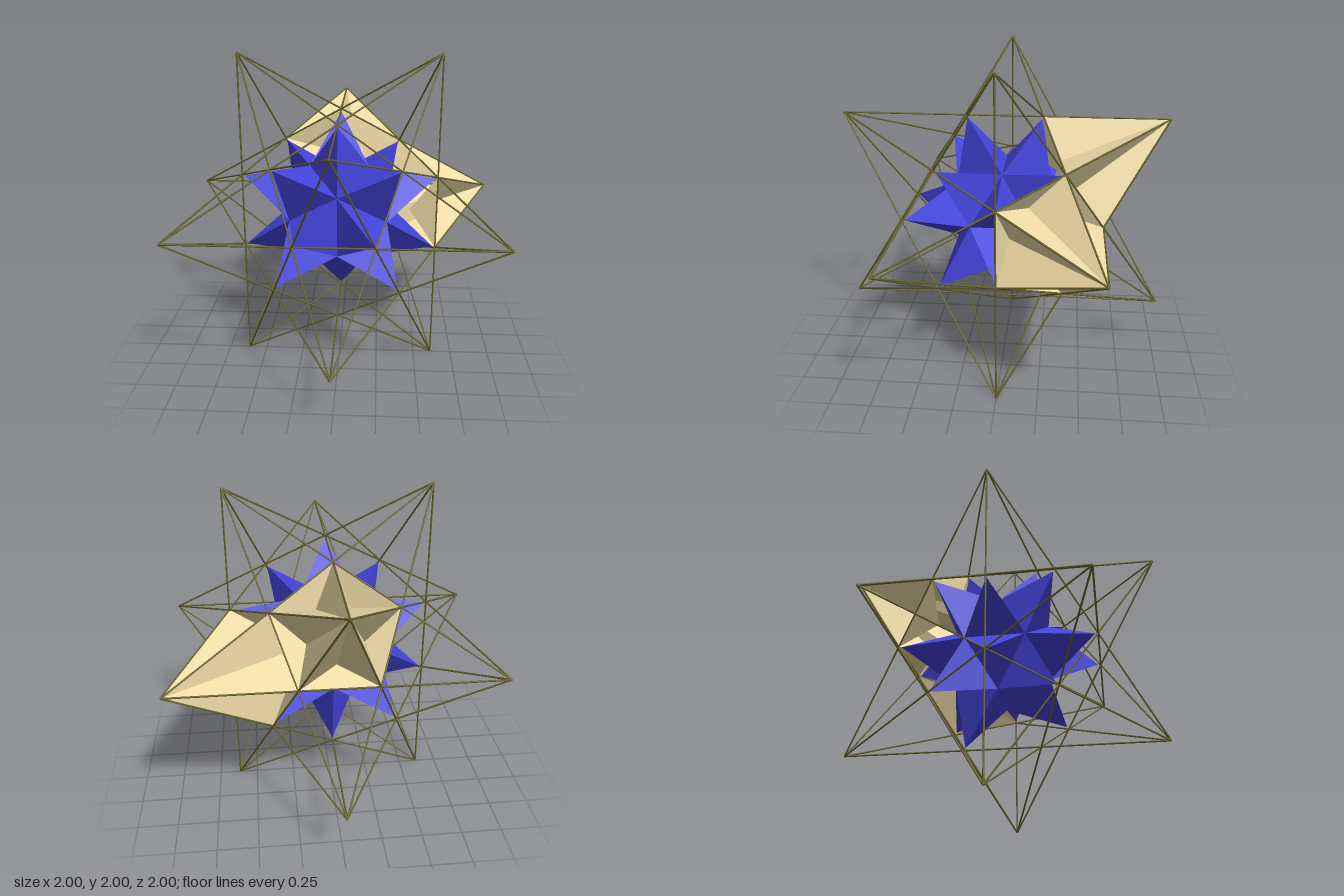
import * as THREE from 'three';

const PHI = (1 + Math.sqrt(5)) / 2;
const SIZE = 0.995;      // reach of the frame tips along each axis
const CENTRE_Y = 1;

// Flat-shaded surface from triangles, each turned to face away from the origin
function facets(name, triangles, material) {
  const points = [];
  for (const [a, b, c] of triangles) {
    const normal = b.clone().sub(a).cross(c.clone().sub(a));
    points.push(...(normal.dot(a) > 0 ? [a, b, c] : [a, c, b]));
  }
  const geometry = new THREE.BufferGeometry().setFromPoints(points);
  geometry.computeVertexNormals();
  const mesh = new THREE.Mesh(geometry, material);
  mesh.name = name;
  return mesh;
}

// Thin rod between two points
function rod(a, b, material) {
  const dir = b.clone().sub(a);
  const mesh = new THREE.Mesh(new THREE.CylinderGeometry(0.0055, 0.0055, dir.length(), 6), material);
  mesh.position.copy(a).add(b).multiplyScalar(0.5);
  mesh.quaternion.setFromUnitVectors(new THREE.Vector3(0, 1, 0), dir.normalize());
  mesh.name = 'frameRod';
  return mesh;
}

export function createModel() {
  const model = new THREE.Group();
  model.name = 'stellatedPolyhedron';
  const blue = new THREE.MeshStandardMaterial({ color: 0x4444dd, flatShading: true });
  const cream = new THREE.MeshStandardMaterial({ color: 0xf0dda8, flatShading: true, side: THREE.DoubleSide });
  const olive = new THREE.MeshStandardMaterial({ color: 0x66622c });

  // Twelve tips of an icosahedron
  const tips = [];
  for (const p of [1, -1]) for (const q of [1, -1]) {
    const s = p / PHI;
    tips.push(new THREE.Vector3(s, q, 0), new THREE.Vector3(0, s, q), new THREE.Vector3(q, 0, s));
  }
  const near = (a, b) => Math.abs(a.dot(b) - 1 / PHI) < 0.01;
  const far = (a, b) => Math.abs(a.dot(b) + 1 / PHI) < 0.01;

  // Icosahedron faces as triples of neighbouring tips, with the sum of their tips
  const faces = [];
  tips.forEach((a, i) => tips.forEach((b, j) => tips.forEach((c, k) => {
    if (i < j && j < k && near(a, b) && near(b, c) && near(a, c))
      faces.push({ tips: [a, b, c], sum: a.clone().add(b).add(c) });
  })));

  // Wire frame: the thirty long chords that join the tips
  const frame = new THREE.Group();
  frame.name = 'wireFrame';
  tips.forEach((a, i) => tips.forEach((b, j) => {
    if (i < j && far(a, b))
      frame.add(rod(a.clone().multiplyScalar(SIZE), b.clone().multiplyScalar(SIZE), olive));
  }));
  model.add(frame);

  // Blue core: a three-sided point on each face, except one face left flat
  const star = new THREE.Group();
  star.name = 'coreStar';
  for (const face of faces) {
    const [a, b, c] = face.tips.map((t) => t.clone().multiplyScalar(0.3));
    const apex = face.sum.clone().multiplyScalar(0.2285);
    const leftFlat = apex.y < -0.5 && apex.z > 0.1;
    star.add(leftFlat
      ? facets('flatFace', [[a, b, c]], blue)
      : facets('corePoint', [[a, b, apex], [b, c, apex], [c, a, apex]], blue));
  }
  model.add(star);

  // Cream spikes: five ridges and five valleys, with a small lip along each base edge
  const spikeTips = tips.filter((t) => t.z < -0.5 && (t.y > 0.5 || t.x > 0.5));
  for (const tip of spikeTips) {
    const triangles = [];
    for (const neighbour of tips.filter((t) => near(t, tip))) {
      const [p, q] = faces
        .filter((f) => f.tips.includes(tip) && f.tips.includes(neighbour))
        .map((f) => f.sum.clone().multiplyScalar(SIZE / PHI ** 3));
      const top = tip.clone().multiplyScalar(SIZE);
      const valley = p.clone().add(q).multiplyScalar(0.2764).addScaledVector(top, 0.1056);
      triangles.push([top, p, valley], [top, valley, q], [p, q, valley]);
    }
    model.add(facets('creamSpike', triangles, cream));
  }

  for (const part of model.children) part.position.y = CENTRE_Y;
  return model;
}
